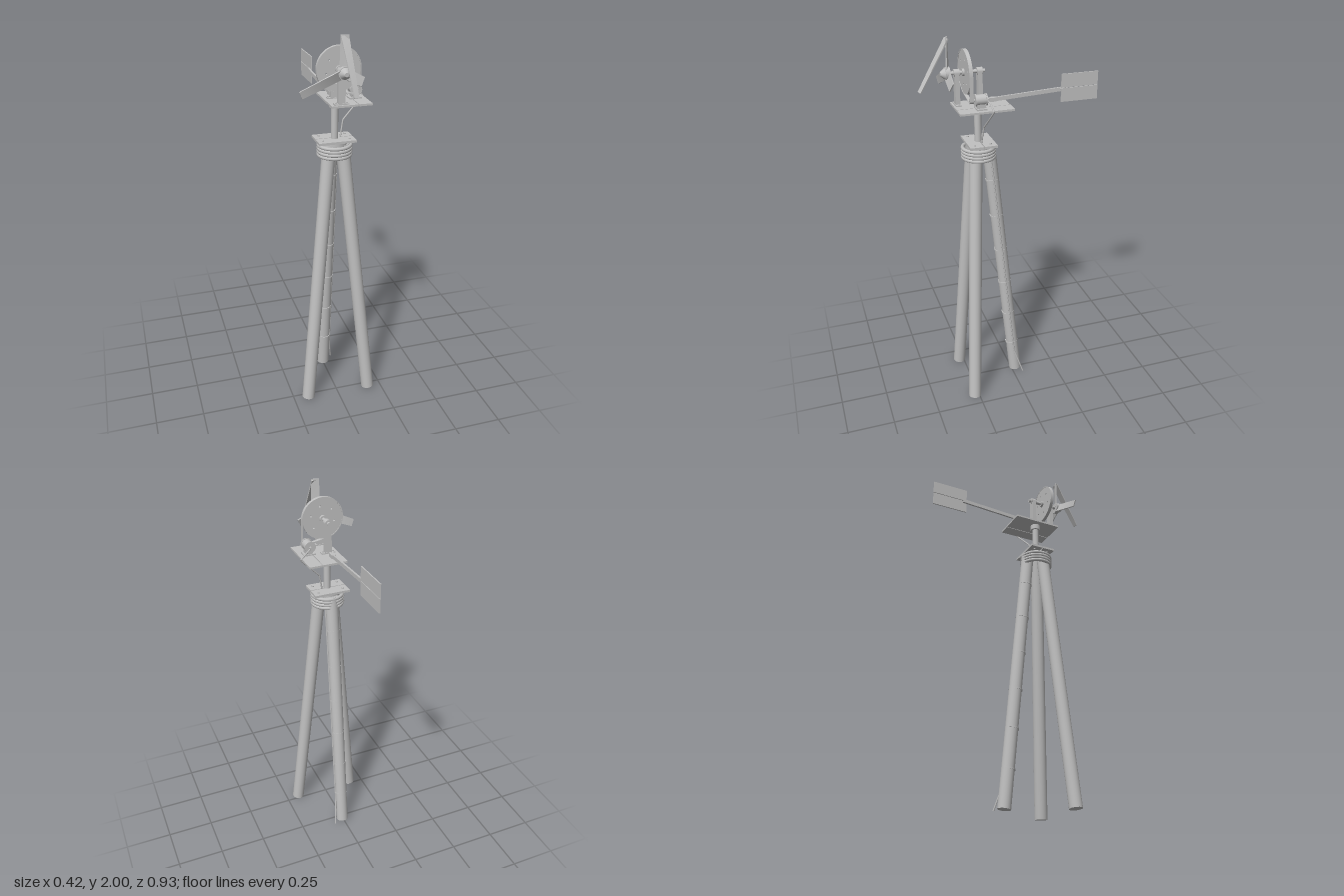
import * as THREE from 'three';

export function createModel() {
  const model = new THREE.Group();
  const grey = new THREE.MeshStandardMaterial({ color: 0xc0c0c0 });
  const V = (x, y, z) => new THREE.Vector3(x, y, z);
  const CX = 0.004, CZ = 0.175, AX = 1.828; // mast axis, rotor shaft height

  const add = (name, geo, x = 0, y = 0, z = 0) => {
    const m = new THREE.Mesh(geo, grey);
    m.name = name;
    m.position.set(x, y, z);
    model.add(m);
    return m;
  };
  const box = (name, x0, x1, y0, y1, z0, z1) =>
    add(name, new THREE.BoxGeometry(x1 - x0, y1 - y0, z1 - z0), (x0 + x1) / 2, (y0 + y1) / 2, (z0 + z1) / 2);
  // Cylinder between two points
  const rod = (name, a, b, r, r2 = r, sides = 20) => {
    const d = b.clone().sub(a);
    const m = add(name, new THREE.CylinderGeometry(r2, r, d.length(), sides));
    m.position.copy(a).add(b).multiplyScalar(0.5);
    m.quaternion.setFromUnitVectors(V(0, 1, 0), d.normalize());
    return m;
  };
  const cable = (name, pts, r = 0.004) => {
    const path = new THREE.CurvePath();
    for (let i = 1; i < pts.length; i++) path.add(new THREE.LineCurve3(pts[i - 1], pts[i]));
    return add(name, new THREE.TubeGeometry(path, 60, r, 6));
  };

  // Tripod legs
  const backFoot = V(0.003, 0.007, -0.023), backTop = V(0.003, 1.445, 0.122);
  rod('backLeg', backFoot, backTop, 0.034);
  for (const s of [-1, 1])
    rod('frontLeg', V(CX + s * 0.173, 0.007, 0.274), V(CX + s * 0.034, 1.445, 0.198), 0.034);

  // Rope lashing
  for (let i = 0; i < 4; i++) {
    const ring = add('ropeRing', new THREE.TorusGeometry(0.08, 0.0095, 8, 36), CX, 1.39 + i * 0.0165, CZ);
    ring.rotation.x = Math.PI / 2;
  }

  // Lower planks with bolts, and mast
  rod('mastBase', V(CX, 1.435, CZ), V(CX, 1.462, CZ), 0.065);
  box('lowerPlank', -0.092, 0.098, 1.46, 1.472, 0.1, 0.167);
  box('lowerPlank', -0.092, 0.098, 1.46, 1.472, 0.172, 0.24);
  for (const x of [-0.065, 0.07]) for (const z of [0.13, 0.21])
    rod('plankBolt', V(x, 1.455, z), V(x, 1.477, z), 0.006, 0.006, 6);
  rod('mast', V(CX, 1.46, CZ), V(CX, 1.66, CZ), 0.018);
  rod('mastCollar', V(CX, 1.63, CZ), V(CX, 1.66, CZ), 0.027);

  // Turning platform
  box('platformPlank', -0.048, 0.082, 1.66, 1.67, 0.03, 0.3);
  box('platformPlank', 0.086, 0.152, 1.66, 1.67, 0.03, 0.3);

  // Shaft supports with feet and bearings
  for (const z of [0.162, 0.276]) {
    box('shaftPost', CX - 0.018, CX + 0.018, 1.67, AX, z - 0.011, z + 0.011);
    box('postFoot', CX - 0.036, CX + 0.036, 1.67, 1.676, z - 0.014, z + 0.014);
    for (const s of [-1, 1])
      rod('footBolt', V(CX + s * 0.027, 1.67, z), V(CX + s * 0.027, 1.681, z), 0.004, 0.004, 6);
    rod('bearing', V(CX, AX, z - 0.014), V(CX, AX, z + 0.014), 0.018);
  }
  rod('shaft', V(CX, AX, 0.135), V(CX, AX, 0.335), 0.009);

  // Drive wheel with a ring of bolt holes
  const disc = new THREE.Shape().absarc(0, 0, 0.106, 0, Math.PI * 2);
  for (let i = 0; i < 6; i++) {
    const a = i * Math.PI / 3 + 0.3;
    disc.holes.push(new THREE.Path().absarc(0.065 * Math.cos(a), 0.065 * Math.sin(a), 0.005, 0, Math.PI * 2, true));
  }
  add('driveWheel', new THREE.ExtrudeGeometry(disc, { depth: 0.014, bevelEnabled: false, curveSegments: 24 }), CX, AX, 0.225);
  rod('wheelHub', V(CX, AX, 0.212), V(CX, AX, 0.25), 0.018);

  // Drive belt wrapped around wheel and pulley
  const GX = 0.099, GY = 1.715;
  const dx = GX - CX, dy = GY - AX, dir = Math.atan2(dy, dx);
  const loop = (Cls, R, r) => {
    const t = Math.acos((R - r) / Math.hypot(dx, dy));
    const p = new Cls();
    p.absarc(0, 0, R, dir + t, dir - t + Math.PI * 2);
    p.absarc(dx, dy, r, dir - t, dir + t);
    p.closePath();
    return p;
  };
  const belt = loop(THREE.Shape, 0.11, 0.016);
  belt.holes.push(loop(THREE.Path, 0.106, 0.012));
  add('driveBelt', new THREE.ExtrudeGeometry(belt, { depth: 0.018, bevelEnabled: false, curveSegments: 32 }), CX, AX, 0.223);

  // Generator
  rod('generatorPulley', V(GX, GY, 0.224), V(GX, GY, 0.24), 0.012);
  rod('generatorShaft', V(GX, GY, 0.145), V(GX, GY, 0.242), 0.006);
  rod('generatorBody', V(GX, GY, 0.158), V(GX, GY, 0.212), 0.026);
  for (const z of [0.156, 0.209])
    rod('generatorCap', V(GX, GY, z), V(GX, GY, z + 0.006), 0.03);
  box('generatorStand', GX - 0.018, GX + 0.018, 1.675, 1.7, 0.165, 0.205);
  box('generatorFoot', GX - 0.031, GX + 0.031, 1.67, 1.677, 0.16, 0.21);

  // Rotor hub
  rod('rotorHub', V(CX, AX, 0.31), V(CX, AX, 0.332), 0.032);
  rod('rotorNose', V(CX, AX, 0.332), V(CX, AX, 0.355), 0.028, 0.01);

  // Blade along +y: tapered and twisted box
  const blade = (len, w0, w1, twist0, twist1) => {
    const g = new THREE.BoxGeometry(1, len, 0.006, 1, 8, 1).translate(0, len / 2, 0);
    const p = g.attributes.position;
    for (let i = 0; i < p.count; i++) {
      const t = p.getY(i) / len, a = twist0 + (twist1 - twist0) * t;
      const x = p.getX(i) * (w0 + (w1 - w0) * t), z = p.getZ(i);
      p.setX(i, x * Math.cos(a) - z * Math.sin(a));
      p.setZ(i, x * Math.sin(a) + z * Math.cos(a));
    }
    g.computeVertexNormals();
    return g;
  };
  add('uprightBlade', blade(0.172, 0.046, 0.04, 0.45, 0.3), CX, AX, 0.319);
  add('leftBlade', blade(0.225, 0.052, 0.038, 0.4, 0.15), CX, AX, 0.322).rotation.z = 1.97;
  add('brokenBlade', blade(0.1, 0.05, 0.048, 0.4, 0.3), CX, AX, 0.322).rotation.z = -2.05;
  // Snapped outer half of the upright blade, hanging forward
  const hanging = add('hangingBlade', blade(0.284, 0.04, 0.024, 0, 0.2), CX, 1.996, 0.318);
  hanging.quaternion.setFromUnitVectors(V(0, 1, 0), V(0.012, -0.241, 0.14).normalize());

  // Tail boom and two-panel vane
  const boom = add('tailBoom', new THREE.BoxGeometry(0.01, 0.02, 0.41), 0.005, 1.688, -0.08);
  boom.rotation.x = 0.05;
  box('vanePanel', 0.01, 0.016, 1.632, 1.703, -0.46, -0.262);
  box('vanePanel', 0.01, 0.016, 1.706, 1.776, -0.46, -0.262);
  rod('vaneRail', V(0.008, 1.698, -0.26), V(0.008, 1.706, -0.29), 0.005, 0.005, 8);
  box('boomBracket', -0.006, 0.016, 1.67, 1.69, 0.08, 0.115);

  // Power cable from generator, down the mast and along the back leg
  cable('upperCable', [V(0.1, 1.71, 0.152), V(0.125, 1.695, 0.142), V(0.16, 1.665, 0.137),
    V(0.052, 1.555, 0.158), V(0.034, 1.46, 0.168), V(0.034, 1.4, 0.15)]);
  const side = (y) => V(0.038, y, -0.022 + 0.1008 * y);
  cable('legCable', [side(1.4), side(0.15), V(0.06, 0.006, -0.054)]);
  for (let i = 0; i < 6; i++) {
    const y = 0.2 + i * 0.21, p = side(y);
    rod('cableTie', V(0.003, y, p.z), V(0.003, y + 0.008, p.z + 0.0008), 0.036);
  }

  return model;
}
